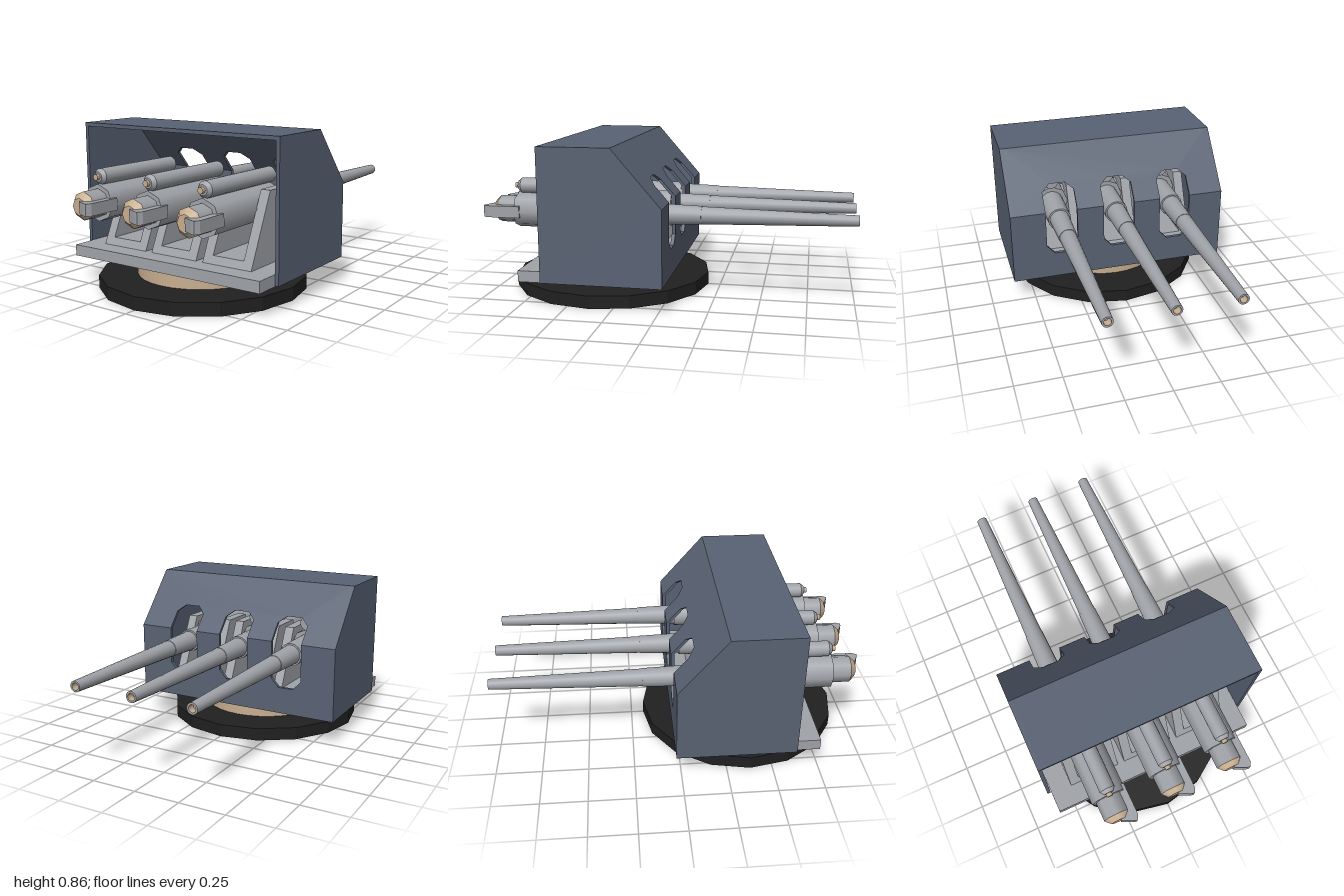
import * as THREE from 'three';

const mat = (name, color, side = THREE.FrontSide) => {
  const m = new THREE.MeshStandardMaterial({ color, side });
  m.name = name;
  return m;
};

export function createModel() {
  const blue = mat('shield blue grey', 0x596273);
  const grey = mat('gun grey', 0xa0a3a8);
  const tan = mat('bare metal tan', 0xc8ae90, THREE.DoubleSide);
  const black = mat('base black', 0x202020);

  const turret = new THREE.Group();
  turret.name = 'tripleGunTurret';
  const add = (parent, name, geo, material, x = 0, y = 0, z = 0) => {
    const m = new THREE.Mesh(geo, material);
    m.name = name;
    m.position.set(x, y, z);
    parent.add(m);
    return m;
  };
  const box = (parent, name, material, x0, x1, y0, y1, z0, z1) =>
    add(parent, name, new THREE.BoxGeometry(x1 - x0, y1 - y0, z1 - z0), material,
      (x0 + x1) / 2, (y0 + y1) / 2, (z0 + z1) / 2);
  // Round section along z, from z0 (radius r0) to z1 (radius r1)
  const round = (parent, name, material, y, z0, z1, r0, r1, sides = 16, open = false) =>
    add(parent, name, new THREE.CylinderGeometry(r1, r0, z1 - z0, sides, 1, open).rotateX(Math.PI / 2),
      material, 0, y, (z0 + z1) / 2);
  const outline = (pts) => new THREE.Shape(pts.map(([a, b]) => new THREE.Vector2(a, b)));
  const extrude = (pts, depth) =>
    new THREE.ExtrudeGeometry(outline(pts), { depth, bevelEnabled: false });
  // Plate with a (z, y) outline, spanning x0 to x1
  const sidePlate = (pts, x0, x1) =>
    extrude(pts, x1 - x0).rotateY(-Math.PI / 2).translate(x1, 0, 0);

  // Base disc and turning ring
  const baseGeo = new THREE.CylinderGeometry(0.56, 0.56, 0.07, 16).toNonIndexed();
  baseGeo.computeVertexNormals();
  add(turret, 'baseDisc', baseGeo, black, 0, 0.035, 0.38);
  add(turret, 'turningRing', new THREE.CylinderGeometry(0.355, 0.355, 0.075, 32), tan, 0, 0.1065, 0.38);

  // Platform that carries the guns
  box(turret, 'platform', grey, -0.597, 0.597, 0.14, 0.2, -0.008, 0.743);

  // Armoured shield: sides, roof, and two face plates notched for the guns
  const shield = new THREE.Group();
  shield.name = 'shield';
  turret.add(shield);
  const gunX = [-0.333, 0, 0.333];
  const sideOutline = [[0.615, 0.145], [0.615, 0.855], [0.23, 0.855], [-0.03, 0.555], [-0.03, 0.145]];
  add(shield, 'rightWall', sidePlate(sideOutline, -0.62, -0.6), blue);
  add(shield, 'leftWall', sidePlate(sideOutline, 0.6, 0.62), blue);
  box(shield, 'roof', blue, -0.6, 0.6, 0.835, 0.855, 0.23, 0.615);

  const notchedPlate = (yEdge, yBend, yCorner, yEnd) => {
    const pts = [[-0.6, yEdge], [-0.6, yBend]];
    for (const x of gunX) {
      pts.push([x - 0.09, yBend], [x - 0.09, yCorner], [x - 0.045, yEnd],
        [x + 0.045, yEnd], [x + 0.09, yCorner], [x + 0.09, yBend]);
    }
    pts.push([0.6, yBend], [0.6, yEdge]);
    return extrude(pts, 0.02).translate(0, 0, -0.03);
  };
  add(shield, 'lowerFacePlate', notchedPlate(0.145, 0.555, 0.345, 0.295), blue);
  const slope = notchedPlate(0.855, 0.555, 0.645, 0.68);
  const p = slope.attributes.position;
  for (let i = 0; i < p.count; i++) p.setZ(i, p.getZ(i) + (p.getY(i) - 0.555) * 0.26 / 0.3);
  slope.computeVertexNormals();
  add(shield, 'slopedFacePlate', slope, blue);

  // Three identical guns, each in its own cradle
  const gunY = 0.475;
  for (const x of gunX) {
    const gun = new THREE.Group();
    gun.name = 'gun';
    gun.position.x = x;
    turret.add(gun);

    // Cradle
    const cheek = [[0.637, 0.2], [0.47, 0.57], [0.27, 0.57], [0.1, 0.2]];
    add(gun, 'rightCradleCheek', sidePlate(cheek, -0.146, -0.092), grey);
    add(gun, 'leftCradleCheek', sidePlate(cheek, 0.092, 0.146), grey);
    add(gun, 'cradleFloor',
      sidePlate([[0.637, 0.2], [0.619, 0.24], [0.118, 0.24], [0.1, 0.2]], -0.092, 0.092), grey);
    add(gun, 'trunnion', new THREE.CylinderGeometry(0.05, 0.05, 0.2, 16).rotateZ(Math.PI / 2),
      grey, 0, gunY, 0.38);

    // Barrel with hollow muzzle
    round(gun, 'barrel', grey, gunY, -1, -0.18, 0.029, 0.048, 16, true);
    round(gun, 'barrelSleeve', grey, gunY, -0.19, 0.03, 0.05, 0.057);
    round(gun, 'barrelCollar', grey, gunY, 0.03, 0.3, 0.066, 0.068);
    add(gun, 'muzzleRim', new THREE.RingGeometry(0.019, 0.029, 16).rotateY(Math.PI), grey, 0, gunY, -1);
    round(gun, 'bore', tan, gunY, -1, -0.96, 0.019, 0.019, 16, true);
    add(gun, 'boreEnd', new THREE.CircleGeometry(0.019, 16), tan, 0, gunY, -0.96);

    // Breech
    round(gun, 'breechJacket', grey, gunY, 0.26, 0.823, 0.097, 0.097, 8);
    round(gun, 'breechRing', grey, gunY, 0.82, 0.925, 0.074, 0.074, 8);
    round(gun, 'breechPlug', tan, gunY, 0.925, 0.955, 0.074, 0.045, 8);
    const lever = [[0.055, 0.79], [0.1, 0.79], [0.1, 0.97], [0.085, 0.995], [0.065, 0.99],
      [0.008, 0.963], [0.008, 0.935], [0.055, 0.935]].map(([a, z]) => [a, -z]);
    add(gun, 'breechLever', extrude(lever, 0.063).rotateX(-Math.PI / 2), grey, 0, 0.443, 0);

    // Recoil cylinder above the breech
    round(gun, 'recoilCylinder', grey, 0.608, 0.25, 0.8, 0.042, 0.042);
    round(gun, 'recoilCylinderEnd', grey, 0.608, 0.8, 0.82, 0.042, 0.026);
    round(gun, 'recoilRodTip', tan, 0.608, 0.82, 0.838, 0.016, 0.016, 12);
  }
  return turret;
}
